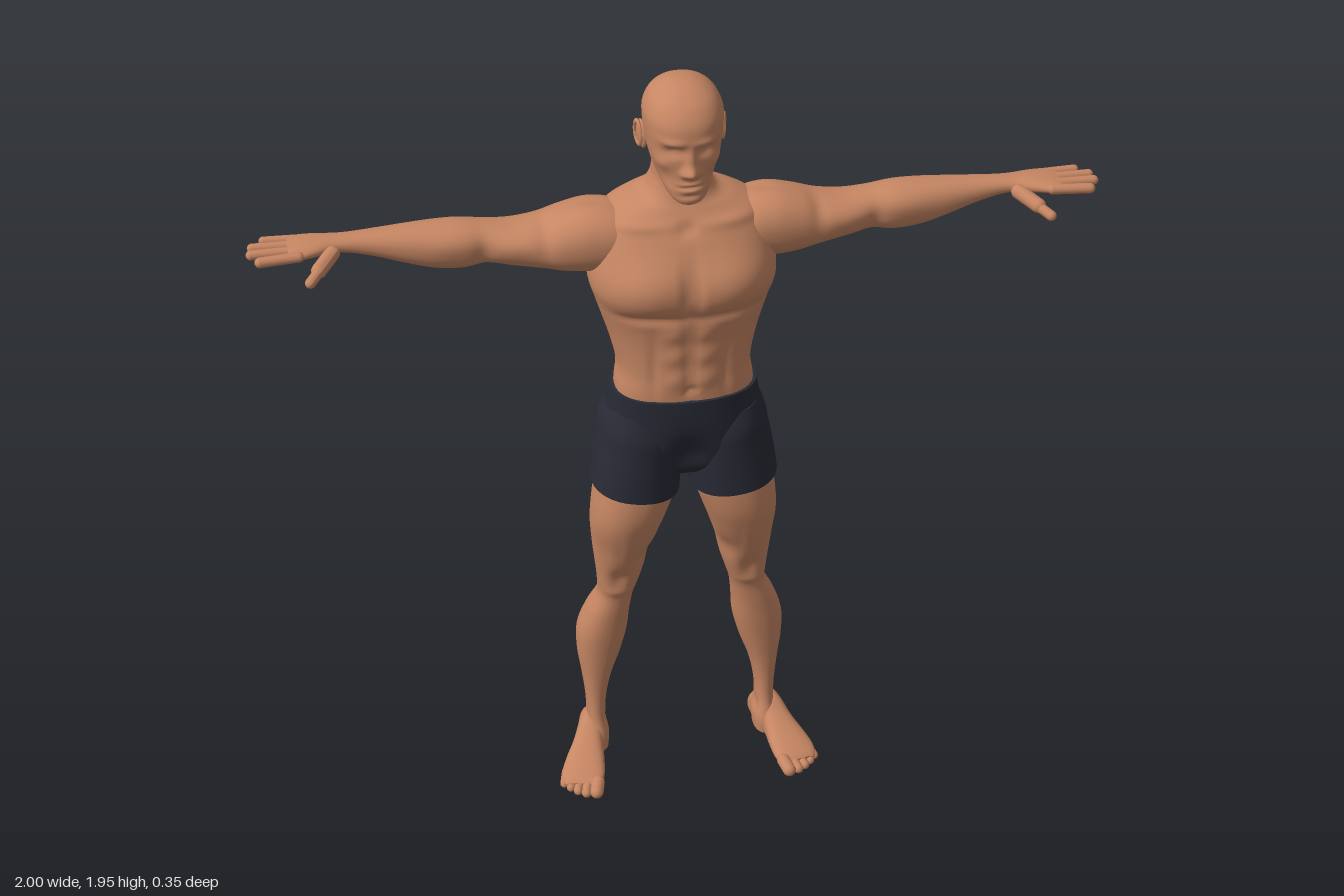
import * as THREE from 'three';

const skin = new THREE.MeshStandardMaterial({ color: 0xc68663 });
skin.name = 'skin';
const cloth = new THREE.MeshStandardMaterial({ color: 0x282a35 });
cloth.name = 'dark cloth';

// Smooth interpolation between neighbouring cross-sections
function sample(rows, s) {
  const n = rows.length - 1, i = Math.min(Math.floor(s), n - 1), f = s - i;
  const [a, b, c, d] = [-1, 0, 1, 2].map(k => rows[Math.min(n, Math.max(0, i + k))]);
  return b.map((_, k) => b[k] + 0.5 * f * (c[k] - a[k] + f * (2 * a[k] - 5 * b[k] + 4 * c[k] - d[k]
    + f * (3 * (b[k] - c[k]) + d[k] - a[k]))));
}

// Rows are [t, uMin, uMax, vMin, vMax]; map turns (u, v, t) into a position.
// Bumps are [x, y, z, rx, ry, rz, height]: soft muscles (+) and grooves (-), mirrored in x on request.
function loft(rows, map, { bumps = [], sides = 48, steps = 7, power = 0.9, both = false } = {}) {
  const pos = [], index = [], count = (rows.length - 1) * steps;
  const bend = c => Math.sign(c) * Math.abs(c) ** power;
  for (let i = 0; i <= count; i++) {
    const [t, u0, u1, v0, v1] = sample(rows, i / steps);
    for (let k = 0; k < sides; k++) {
      const a = (k / sides) * Math.PI * 2;
      pos.push(...map((u0 + u1 + (u1 - u0) * bend(Math.cos(a))) / 2, (v0 + v1 + (v1 - v0) * bend(Math.sin(a))) / 2, t));
    }
  }
  for (let i = 0; i < count; i++) for (let k = 0; k < sides; k++) {
    const a = i * sides + k, b = i * sides + (k + 1) % sides;
    index.push(a, a + sides, b, b, a + sides, b + sides);
  }
  const geo = new THREE.BufferGeometry();
  geo.setAttribute('position', new THREE.Float32BufferAttribute(pos, 3));
  geo.setIndex(index);
  geo.computeVertexNormals();
  const normal = geo.attributes.normal.array, out = pos.slice();
  for (let j = 0; j < pos.length; j += 3) {
    let h = 0;
    for (const [x, y, z, rx, ry, rz, amount] of bumps) {
      const px = both ? Math.abs(pos[j]) : pos[j];
      h += amount * Math.exp(-(((px - x) / rx) ** 2) - ((pos[j + 1] - y) / ry) ** 2 - ((pos[j + 2] - z) / rz) ** 2);
    }
    for (let k = 0; k < 3; k++) out[j + k] += normal[j + k] * h;
  }
  // End caps with their own vertices
  for (const end of [0, count]) {
    const base = out.length / 3, mid = [0, 0, 0];
    for (let k = 0; k < sides; k++) for (let c = 0; c < 3; c++) {
      const p = out[(end * sides + k) * 3 + c];
      out.push(p);
      mid[c] += p / sides;
    }
    out.push(...mid);
    for (let k = 0; k < sides; k++) {
      const a = base + k, b = base + (k + 1) % sides;
      index.push(base + sides, end ? b : a, end ? a : b);
    }
  }
  geo.setAttribute('position', new THREE.Float32BufferAttribute(out, 3));
  geo.setIndex(index);
  geo.computeVertexNormals();
  return geo;
}

// Rounded rod between two points, for fingers and toes
function rod(from, to, r, flat = 1) {
  const a = new THREE.Vector3(...from), b = new THREE.Vector3(...to), d = b.clone().sub(a);
  const geo = new THREE.CapsuleGeometry(r, Math.max(0.001, d.length() - r), 6, 14);
  geo.applyQuaternion(new THREE.Quaternion().setFromUnitVectors(new THREE.Vector3(0, 1, 0), d.clone().normalize()));
  geo.scale(1, flat, 1);
  const m = a.add(b).multiplyScalar(0.5);
  return geo.translate(m.x, m.y, m.z);
}

function mirrored(geo) {
  const g = geo.clone().scale(-1, 1, 1), ix = g.index.array;
  for (let i = 0; i < ix.length; i += 3) [ix[i], ix[i + 1]] = [ix[i + 1], ix[i]];
  g.computeVertexNormals();
  return g;
}

export function createModel() {
  const model = new THREE.Group();
  model.name = 'athlete';
  const add = (name, geo, mat = skin) => {
    const mesh = new THREE.Mesh(geo, mat);
    mesh.name = name;
    model.add(mesh);
  };
  const pair = (name, geo, mat) => {
    add('left ' + name, geo, mat);
    add('right ' + name, mirrored(geo), mat);
  };
  const upright = (u, v, t) => [u, t, v];
  const sym = rows => rows.map(([y, w, back, front]) => [y, -w, w, back, front]);

  // Torso and neck
  const torsoBumps = [
    [0.1, 1.47, 0.12, 0.085, 0.06, 0.08, 0.018], [0.09, 1.39, 0.12, 0.09, 0.014, 0.06, -0.011],
    [0, 1.47, 0.13, 0.01, 0.07, 0.06, -0.014], [0, 1.26, 0.11, 0.008, 0.1, 0.05, -0.006],
    [0, 1.36, -0.15, 0.022, 0.19, 0.08, -0.022], [0.14, 1.42, -0.1, 0.06, 0.08, 0.06, 0.01],
    [0.1, 1.53, -0.15, 0.055, 0.06, 0.06, 0.012], [0.05, 1.22, -0.11, 0.03, 0.08, 0.05, 0.008],
    [0.11, 1.605, 0.05, 0.08, 0.012, 0.05, 0.007], [0, 1.185, 0.115, 0.009, 0.009, 0.03, -0.009],
    [0.085, 1.25, 0.09, 0.01, 0.09, 0.05, -0.005], [0, 1.6, 0.07, 0.018, 0.016, 0.04, -0.01],
  ];
  for (const y of [1.345, 1.28, 1.215]) torsoBumps.push([0.036, y, 0.11, 0.026, 0.026, 0.04, 0.007]);
  add('torso', loft(sym([
    [1.05, 0.17, -0.1, 0.11], [1.16, 0.166, -0.1, 0.114], [1.22, 0.16, -0.11, 0.112], [1.29, 0.175, -0.138, 0.112],
    [1.35, 0.193, -0.156, 0.116], [1.4, 0.208, -0.165, 0.126], [1.445, 0.22, -0.168, 0.133], [1.5, 0.218, -0.169, 0.122],
    [1.57, 0.205, -0.16, 0.088], [1.61, 0.18, -0.146, 0.062], [1.635, 0.135, -0.136, 0.045], [1.655, 0.088, -0.126, 0.034],
    [1.69, 0.068, -0.111, 0.024], [1.73, 0.064, -0.1, 0.025], [1.78, 0.06, -0.09, 0.03],
  ]), upright, { bumps: torsoBumps, sides: 96, steps: 7, power: 0.82, both: true }));

  // Head with sculpted face
  add('head', loft(sym([
    [1.684, 0.022, 0.045, 0.1], [1.695, 0.038, 0.02, 0.113], [1.715, 0.053, -0.02, 0.115], [1.745, 0.068, -0.06, 0.111],
    [1.78, 0.079, -0.086, 0.11], [1.82, 0.087, -0.105, 0.112], [1.86, 0.091, -0.112, 0.114], [1.89, 0.09, -0.108, 0.107],
    [1.92, 0.077, -0.09, 0.086], [1.94, 0.056, -0.066, 0.058], [1.952, 0.03, -0.036, 0.03], [1.956, 0.006, -0.01, 0.006],
  ]), upright, { sides: 96, steps: 9, both: true, bumps: [
    [0, 1.776, 0.115, 0.013, 0.016, 0.05, 0.027], [0, 1.805, 0.115, 0.01, 0.026, 0.05, 0.012],
    [0.015, 1.77, 0.11, 0.008, 0.009, 0.04, 0.008], [0.036, 1.823, 0.1, 0.02, 0.012, 0.04, -0.013],
    [0.034, 1.822, 0.095, 0.012, 0.007, 0.04, 0.005], [0.035, 1.846, 0.1, 0.026, 0.009, 0.04, 0.006],
    [0.058, 1.79, 0.08, 0.018, 0.016, 0.04, 0.005], [0.055, 1.75, 0.08, 0.02, 0.022, 0.04, -0.005],
    [0, 1.742, 0.11, 0.022, 0.006, 0.04, 0.006], [0, 1.735, 0.11, 0.024, 0.003, 0.04, -0.006],
    [0, 1.727, 0.11, 0.02, 0.006, 0.04, 0.005], [0, 1.713, 0.11, 0.025, 0.006, 0.04, -0.004],
  ] }));
  const ear = new THREE.SphereGeometry(1, 20, 16).scale(0.01, 0.035, 0.021).rotateX(-0.2).rotateY(-0.3);
  pair('ear', ear.translate(0.09, 1.81, -0.022));
  const earRim = new THREE.TorusGeometry(0.022, 0.005, 8, 20).scale(0.75, 1.25, 1).rotateY(Math.PI / 2).rotateX(-0.2).rotateY(-0.3);
  pair('ear rim', earRim.translate(0.098, 1.812, -0.024));

  // Arms, from inside the shoulder out to the knuckles
  pair('arm', loft([
    [0.08, -0.1, 0.03, 1.51, 1.59], [0.15, -0.125, 0.05, 1.475, 1.622], [0.21, -0.138, 0.05, 1.465, 1.628],
    [0.27, -0.138, 0.042, 1.468, 1.614], [0.33, -0.125, 0.028, 1.48, 1.598], [0.39, -0.118, 0.012, 1.488, 1.59],
    [0.45, -0.112, 0.0, 1.496, 1.594], [0.51, -0.115, 0.0, 1.488, 1.602], [0.57, -0.114, -0.004, 1.492, 1.602],
    [0.63, -0.107, -0.012, 1.508, 1.599], [0.7, -0.098, -0.024, 1.531, 1.594], [0.76, -0.088, -0.03, 1.548, 1.592],
    [0.8, -0.089, -0.027, 1.554, 1.591], [0.84, -0.095, -0.01, 1.557, 1.592], [0.88, -0.098, 0.006, 1.561, 1.59],
    [0.905, -0.094, 0.006, 1.566, 1.586],
  ], (u, v, t) => [t, v, u], { sides: 56, bumps: [
    [0.24, 1.6, 0.0, 0.07, 0.05, 0.06, 0.008], [0.32, 1.58, 0.01, 0.02, 0.05, 0.06, -0.006],
    [0.39, 1.555, 0.01, 0.05, 0.03, 0.04, 0.008], [0.36, 1.5, -0.09, 0.07, 0.03, 0.05, 0.007],
    [0.46, 1.54, 0.0, 0.02, 0.04, 0.04, -0.006], [0.53, 1.57, 0.0, 0.06, 0.03, 0.04, 0.006],
    [0.53, 1.54, -0.1, 0.09, 0.008, 0.04, -0.005], [0.2, 1.62, -0.05, 0.04, 0.03, 0.02, -0.006],
  ] }));
  [[-0.004, 0.004, 0.982], [-0.031, -0.032, 1.0], [-0.058, -0.062, 0.996], [-0.083, -0.09, 0.968]].forEach(([z0, z1, tip], i) =>
    pair('finger ' + (i + 1), rod([0.875, 1.576, z0], [tip - 0.006, 1.574, z1], 0.0125 - i * 0.0006, 1)));
  pair('thumb base', rod([0.8, 1.568, -0.03], [0.845, 1.552, 0.035], 0.018));
  pair('thumb', rod([0.835, 1.556, 0.025], [0.866, 1.542, 0.066], 0.0125));

  // Legs
  pair('leg', loft([
    [1.03, 0.015, 0.195, -0.11, 0.095], [0.95, 0.012, 0.212, -0.108, 0.11], [0.88, 0.018, 0.219, -0.098, 0.117],
    [0.81, 0.04, 0.227, -0.093, 0.115], [0.75, 0.06, 0.23, -0.09, 0.1], [0.68, 0.08, 0.225, -0.084, 0.074],
    [0.62, 0.093, 0.218, -0.078, 0.052], [0.57, 0.108, 0.213, -0.073, 0.038], [0.52, 0.122, 0.213, -0.075, 0.024],
    [0.46, 0.13, 0.239, -0.098, 0.02], [0.39, 0.136, 0.261, -0.116, 0.015], [0.32, 0.153, 0.262, -0.114, 0.008],
    [0.25, 0.177, 0.253, -0.1, 0.002], [0.18, 0.192, 0.245, -0.088, 0.0], [0.12, 0.195, 0.243, -0.083, 0.004],
    [0.07, 0.188, 0.247, -0.087, 0.02], [0.03, 0.19, 0.245, -0.085, 0.02],
  ], upright, { sides: 56, bumps: [
    [0.105, 0.66, 0.04, 0.03, 0.045, 0.04, 0.01], [0.205, 0.7, 0.05, 0.03, 0.07, 0.05, 0.007],
    [0.165, 0.59, 0.05, 0.026, 0.032, 0.03, 0.011], [0.15, 0.7, 0.09, 0.01, 0.07, 0.05, -0.005],
    [0.2, 0.37, -0.115, 0.012, 0.08, 0.04, -0.007], [0.168, 0.545, 0.03, 0.035, 0.012, 0.03, -0.004],
    [0.165, 0.55, -0.08, 0.025, 0.05, 0.03, -0.008], [0.13, 0.75, -0.09, 0.012, 0.1, 0.04, -0.005],
    [0.195, 0.1, -0.03, 0.02, 0.018, 0.018, 0.006], [0.243, 0.09, -0.04, 0.02, 0.018, 0.018, 0.007],
  ] }));

  // Feet, turned outward
  const onFoot = (y, x, s) => [0.212 + 0.97 * x + 0.245 * s, y, -0.108 - 0.245 * x + 0.97 * s];
  pair('foot', loft([
    [0, 0.025, 0.06, -0.016, 0.016], [0.012, 0.012, 0.082, -0.028, 0.03], [0.045, 0.008, 0.115, -0.034, 0.035],
    [0.09, 0.008, 0.122, -0.034, 0.036], [0.13, 0.008, 0.095, -0.035, 0.044], [0.17, 0.008, 0.071, -0.041, 0.056],
    [0.21, 0.008, 0.052, -0.045, 0.063], [0.24, 0.01, 0.038, -0.042, 0.058], [0.252, 0.014, 0.03, -0.038, 0.048],
  ], onFoot, { power: 0.85, steps: 5 }));
  [[-0.031, 0.28, 0.017], [-0.005, 0.278, 0.0125], [0.017, 0.27, 0.0115], [0.037, 0.258, 0.011], [0.055, 0.244, 0.011]]
    .forEach(([x, s, r], i) => pair('toe ' + (i + 1), rod(onFoot(r + 0.011, x, s - 0.05), onFoot(r + 0.003, x, s), r)));

  // Shorts
  const cheek = [0.09, 1.01, -0.15, 0.065, 0.08, 0.07, 0.014];
  add('shorts body', loft(sym([
    [0.92, 0.09, -0.09, 0.075], [0.95, 0.16, -0.132, 0.105], [1.0, 0.196, -0.155, 0.12], [1.05, 0.194, -0.152, 0.122],
    [1.1, 0.185, -0.132, 0.122], [1.157, 0.175, -0.107, 0.122],
  ]).reverse(), upright, { sides: 80, steps: 9, power: 0.85, both: true, bumps: [
    cheek, [0, 1.01, -0.16, 0.016, 0.09, 0.07, -0.02], [0, 0.99, 0.12, 0.05, 0.055, 0.06, 0.024],
  ] }), cloth);
  pair('shorts leg', loft([
    [1.1, 0.03, 0.18, -0.1, 0.1], [1.05, 0.008, 0.2, -0.135, 0.117], [1.0, 0.003, 0.21, -0.15, 0.12],
    [0.95, 0.004, 0.219, -0.138, 0.122], [0.92, 0.008, 0.223, -0.12, 0.123], [0.878, 0.012, 0.228, -0.105, 0.125],
  ], (u, v, t) => [u, t + 0.12 * (u - 0.12), v], { sides: 64, bumps: [cheek] }), cloth);

  // Upright lofts listed from top to bottom come out inside out, so turn them by volume sign
  model.traverse(o => {
    if (!o.isMesh) return;
    const p = o.geometry.attributes.position, ix = o.geometry.index.array, [a, b, c] = [0, 1, 2].map(() => new THREE.Vector3());
    let volume = 0;
    for (let i = 0; i < ix.length; i += 3) {
      [a, b, c].forEach((v, k) => v.fromBufferAttribute(p, ix[i + k]));
      volume += a.dot(b.cross(c));
    }
    if (volume > 0) return;
    for (let i = 0; i < ix.length; i += 3) [ix[i], ix[i + 1]] = [ix[i + 1], ix[i]];
    o.geometry.computeVertexNormals();
  });
  return model;
}
